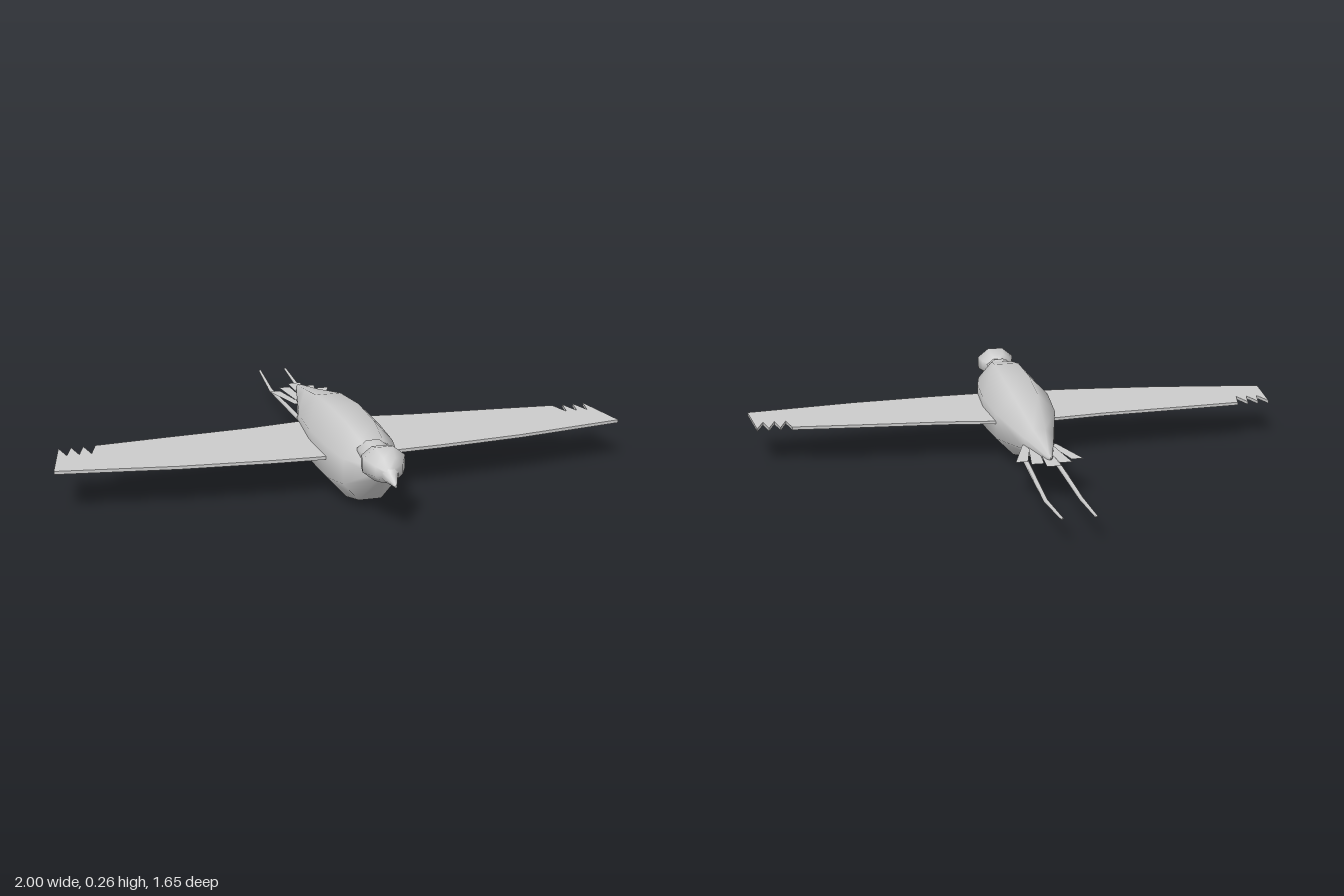
import * as THREE from 'three';

const material = new THREE.MeshStandardMaterial({ color: 0xcccccc, side: THREE.DoubleSide });
const SIDES = 8;

// Smooth skin over octagonal rings listed front to back: [z, bottom y, top y, half width]
function loft(rings) {
  const positions = [], index = [];
  const k = 1 / Math.cos(Math.PI / SIDES);
  rings.forEach(([z, y0, y1, w], i) => {
    for (let j = 0; j < SIDES; j++) {
      const a = ((j + 0.5) / SIDES) * Math.PI * 2;
      positions.push(Math.cos(a) * w * k, (y0 + y1) / 2 + Math.sin(a) * ((y1 - y0) / 2) * k, z);
      if (i === rings.length - 1) continue;
      const p = i * SIDES + j, q = i * SIDES + ((j + 1) % SIDES);
      index.push(p, p + SIDES, q, q, p + SIDES, q + SIDES);
    }
  });
  const geometry = new THREE.BufferGeometry();
  geometry.setAttribute('position', new THREE.Float32BufferAttribute(positions, 3));
  geometry.setIndex(index);
  geometry.computeVertexNormals();
  return geometry;
}

// Horizontal plate from an outline of [x, z] points
function plate(outline, side, top, thickness) {
  const shape = new THREE.Shape(outline.map(([x, z]) => new THREE.Vector2(x * side, z)));
  const geometry = thickness
    ? new THREE.ExtrudeGeometry(shape, { depth: thickness, bevelEnabled: false })
    : new THREE.ShapeGeometry(shape);
  return geometry.rotateX(Math.PI / 2).translate(0, top, 0);
}

export function createModel() {
  const group = new THREE.Group();
  const add = (name, geometry) => {
    const mesh = new THREE.Mesh(geometry, material);
    mesh.name = name;
    group.add(mesh);
  };

  // Body, tapering to the tail
  add('body', loft([
    [0.68, 0.165, 0.175, 0.004], [0.66, 0.14, 0.205, 0.03], [0.56, 0.035, 0.245, 0.092],
    [0.44, 0.004, 0.265, 0.115], [0.25, 0.002, 0.265, 0.125], [0.05, 0.02, 0.245, 0.11],
    [-0.2, 0.09, 0.19, 0.053], [-0.38, 0.13, 0.157, 0.01], [-0.395, 0.143, 0.147, 0.001],
  ]));

  // Neck, head and drooping beak
  add('neck', loft([
    [0.68, 0.18, 0.24, 0.045], [0.63, 0.165, 0.238, 0.045],
    [0.58, 0.17, 0.248, 0.052], [0.56, 0.2, 0.24, 0.03],
  ]));
  add('head', loft([
    [0.775, 0.19, 0.215, 0.015], [0.755, 0.165, 0.245, 0.045], [0.7, 0.153, 0.265, 0.07],
    [0.65, 0.162, 0.252, 0.06], [0.615, 0.185, 0.235, 0.03], [0.61, 0.208, 0.212, 0.002],
  ]));
  add('beak', loft([
    [0.825, 0.172, 0.18, 0.003], [0.79, 0.17, 0.205, 0.016], [0.745, 0.167, 0.235, 0.036],
  ]));

  // Wing outline with notched flight feathers at the tip
  const wing = [[0.06, 0.435], [0.15, 0.435], [0.3, 0.427], [0.6, 0.4], [1, 0.34], [0.966, 0.12]];
  for (let i = 0; i < 3; i++) {
    const x = 0.945 - i * 0.041;
    wing.push([x, 0.2], [x - 0.021, 0.12]);
  }
  wing.push([0.84, 0.12], [0.6, 0.1], [0.3, 0.078], [0.1, 0.05], [0.06, 0.05]);

  for (const [side, label] of [[1, 'left'], [-1, 'right']]) {
    add(`${label}Wing`, plate(wing, side, 0.152, 0.011));

    // Tail fan feathers
    add(`${label}OuterTailFeather`, plate([[0.03, -0.19], [0.06, -0.2], [0.117, -0.382], [0.075, -0.382]], side, 0.135, 0));
    add(`${label}InnerTailFeather`, plate([[0.01, -0.2], [0.04, -0.2], [0.07, -0.418], [0.027, -0.418]], side, 0.137, 0));

    // Long trailing streamers
    const streamer = loft([
      [-0.18, 0.076, 0.094, 0.009], [-0.4, 0.07, 0.086, 0.008], [-0.6, 0.064, 0.078, 0.007],
      [-0.82, 0.088, 0.096, 0.005], [-0.822, 0.091, 0.093, 0.001],
    ]);
    const p = streamer.attributes.position;
    for (let i = 0; i < p.count; i++) {
      const bow = 1 - Math.abs(p.getZ(i) + 0.58) / 0.4;
      p.setX(i, p.getX(i) + side * (0.051 + 0.008 * bow));
    }
    streamer.computeVertexNormals();
    add(`${label}Streamer`, streamer);
  }
  add('centreTailFeather', plate([[-0.015, -0.22], [0.015, -0.22], [0.025, -0.457], [-0.025, -0.457]], 1, 0.139, 0));

  return group;
}
